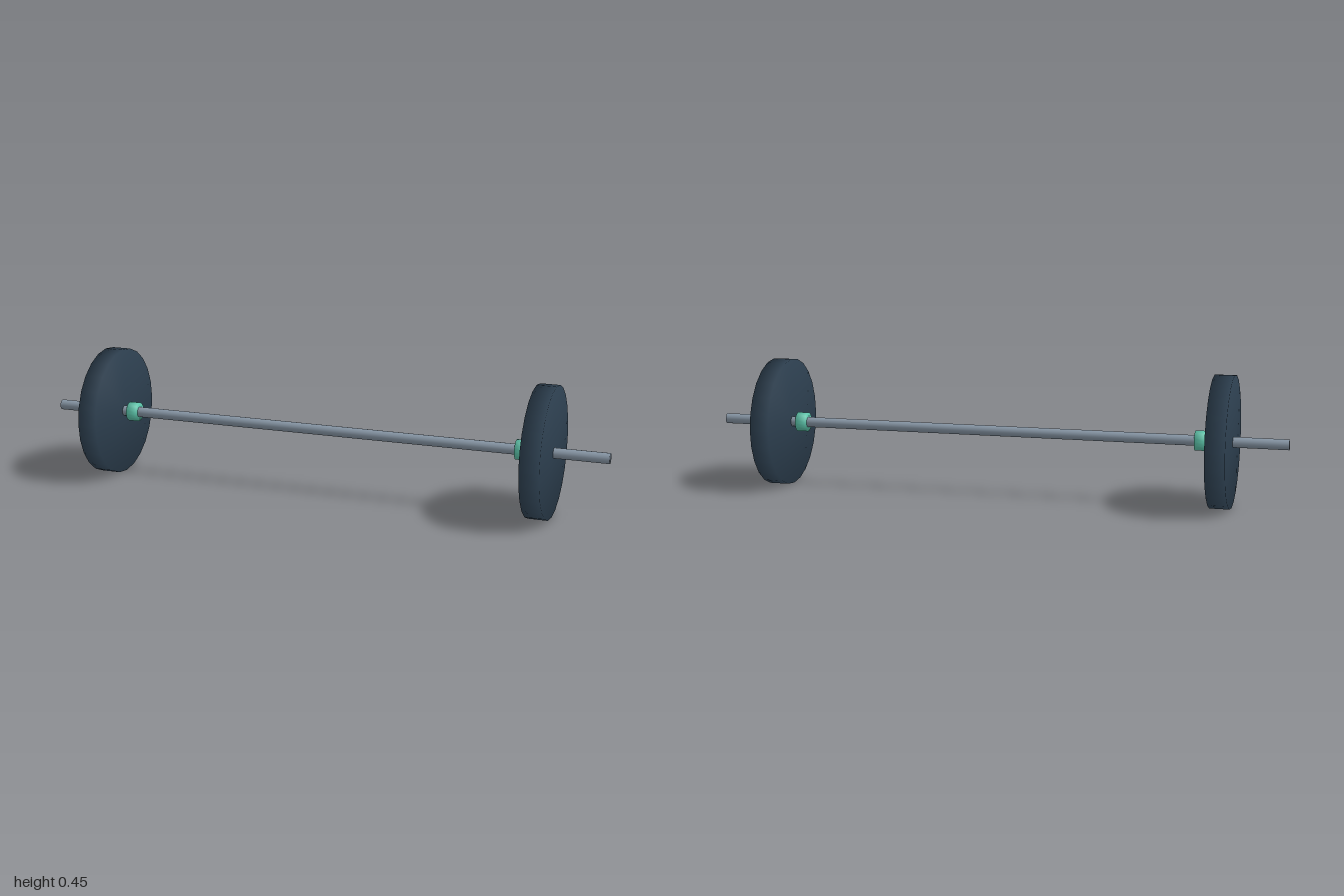
import * as THREE from 'three';
import { mergeVertices } from 'three/addons/utils/BufferGeometryUtils.js';

const AXIS_Y = 0.2235;

// Cylinder lying along x, with normals shared between wall and caps for soft shading
function softDisc(radius, width, sides) {
  let geo = new THREE.CylinderGeometry(radius, radius, width, sides);
  geo.deleteAttribute('uv');
  geo.deleteAttribute('normal');
  geo = mergeVertices(geo, 1e-5);
  geo.rotateZ(Math.PI / 2);
  geo.computeVertexNormals();
  return geo;
}

export function createModel() {
  const group = new THREE.Group();
  const steel = new THREE.MeshStandardMaterial({ color: 0x8796a5 });
  const rubber = new THREE.MeshStandardMaterial({ color: 0x2c3e4e });
  const mint = new THREE.MeshStandardMaterial({ color: 0x5cc4aa });

  const add = (name, geo, material, x) => {
    const mesh = new THREE.Mesh(geo, material);
    mesh.name = name;
    mesh.position.set(x, AXIS_Y, 0);
    group.add(mesh);
  };

  // Long bar
  add('bar', softDisc(0.018, 2, 16), steel, 0);

  // One weight plate and one inner collar at each end
  const plate = softDisc(0.2235, 0.067, 24);
  const collar = softDisc(0.034, 0.037, 16);
  for (const [side, s] of [['left', 1], ['right', -1]]) {
    add(side + 'Plate', plate, rubber, s * 0.782);
    add(side + 'Collar', collar, mint, s * 0.708);
  }
  return group;
}
